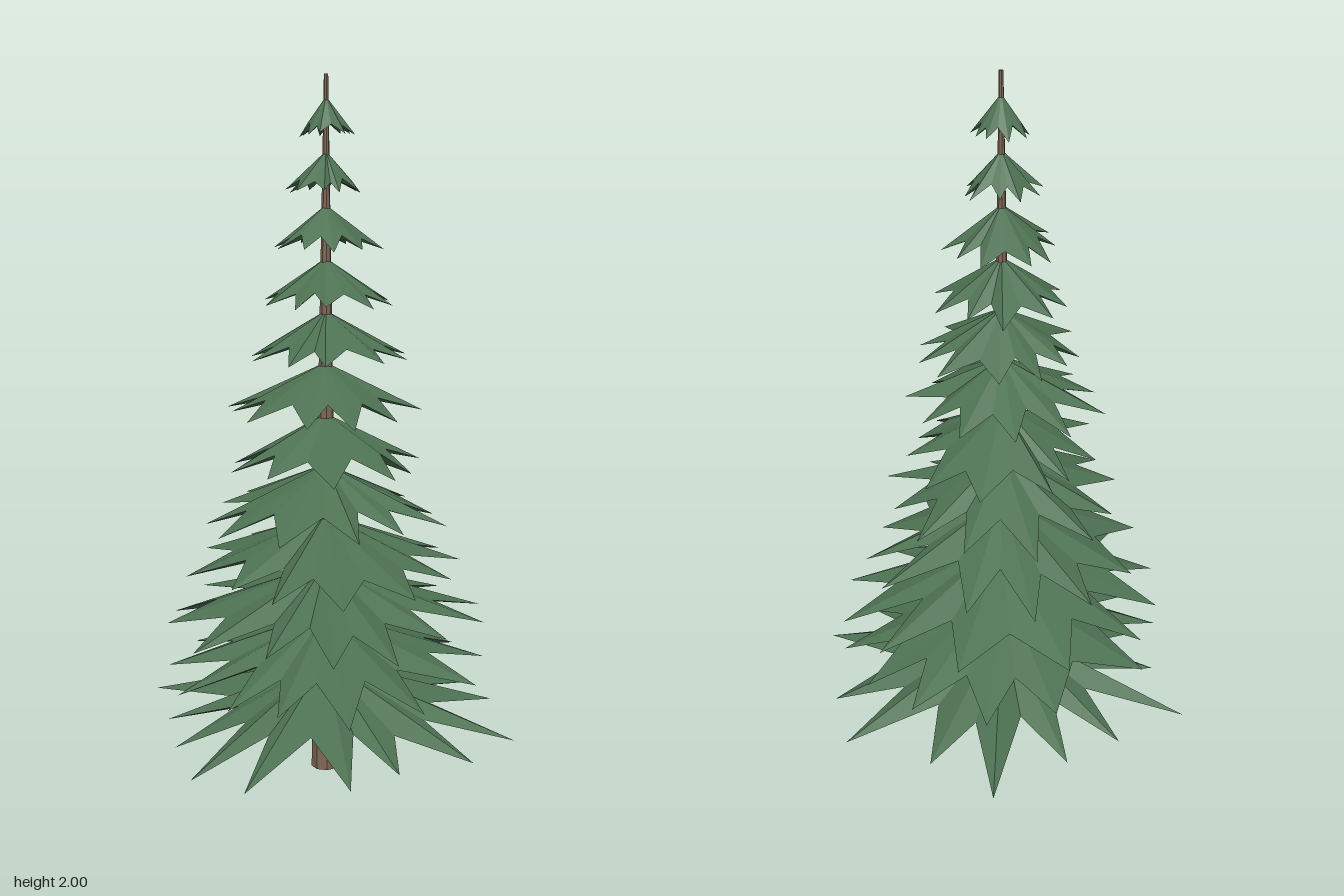
import * as THREE from 'three';

// Small seeded generator for natural variation
function seeded(seed) {
  let s = seed;
  return () => (s = (s * 16807) % 2147483647) / 2147483647;
}

// Closed star-shaped skirt: ridges run from the apex to long tips, folds to short valleys,
// and an underside joins the same rim to a hub on the trunk
function skirtGeometry(tips, drop, fullness, rnd) {
  const rim = [];
  const point = (a, r, y) => [Math.cos(a) * r, y, Math.sin(a) * r];
  tips.forEach(([angle, radius], i) => {
    const [nextAngle, nextRadius] = tips[(i + 1) % tips.length];
    const gap = (nextAngle - angle + Math.PI * 4) % (Math.PI * 2);
    rim.push(point(angle, radius, -drop * (0.94 + rnd() * 0.13)));
    const valley = Math.min(radius, nextRadius) * (fullness + rnd() * 0.14);
    rim.push(point(angle + gap / 2, valley, -drop * (0.66 + rnd() * 0.12)));
  });
  const positions = [];
  rim.forEach((p, i) => {
    const next = rim[(i + 1) % rim.length];
    positions.push(0, 0, 0, ...next, ...p);
    positions.push(0, -drop * 0.59, 0, ...p, ...next);
  });
  const geometry = new THREE.BufferGeometry();
  geometry.setAttribute('position', new THREE.Float32BufferAttribute(positions, 3));
  geometry.computeVertexNormals();
  return geometry;
}

export function createModel() {
  const needles = new THREE.MeshStandardMaterial({ color: 0x4d7152, flatShading: true, side: THREE.DoubleSide });
  needles.name = 'needle green';
  const bark = new THREE.MeshStandardMaterial({ color: 0x7f6655, flatShading: true });
  bark.name = 'bark brown';

  const tree = new THREE.Group();
  tree.name = 'firTree';
  const rnd = seeded(4711);

  // Tapered trunk running through to the leader at the top
  const trunk = new THREE.Mesh(new THREE.CylinderGeometry(0.006, 0.041, 2, 8), bark);
  trunk.name = 'trunk';
  trunk.position.set(0.008, 1, -0.03);
  tree.add(trunk);

  // Three lowest skirts: tip angle in degrees and reach
  const lowest = [
    [
      [-17, 0.57], [3, 0.53], [27, 0.46], [45, 0.5], [75, 0.56], [90, 0.59], [117, 0.47], [142, 0.465],
      [167, 0.575], [191, 0.485], [211, 0.46], [237, 0.58], [259, 0.49], [288, 0.56], [308, 0.52],
    ],
    [
      [15, 0.44], [45, 0.48], [70, 0.43], [92, 0.42], [117, 0.46], [142, 0.46], [172, 0.46],
      [215, 0.45], [240, 0.46], [267, 0.47], [290, 0.47], [312, 0.48], [340, 0.45],
    ],
    [
      [27, 0.45], [50, 0.45], [75, 0.42], [101, 0.48], [133, 0.46], [155, 0.46], [181, 0.485],
      [211, 0.46], [250, 0.45], [280, 0.48], [304, 0.49], [329, 0.46], [355, 0.4],
    ],
  ].map((tips) => tips.map(([deg, r]) => [THREE.MathUtils.degToRad(deg), r]));

  // Reach of the remaining skirts, shrinking upward
  const reach = [0.42, 0.37, 0.305, 0.3, 0.245, 0.195, 0.172, 0.114, 0.08];
  const scatteredTips = (radius, count) => {
    const turn = rnd() * Math.PI * 2;
    return Array.from({ length: count }, (_, i) => [
      turn + ((i + (rnd() - 0.5) * 0.5) / count) * Math.PI * 2,
      radius * (0.83 + rnd() * 0.2),
    ]);
  };
  const skirts = [...lowest, ...reach.map((r, i) => scatteredTips(r, Math.round(12 - i * 0.35)))];

  skirts.forEach((tips, level) => {
    const drop = 0.18 - level * 0.007;
    const skirt = new THREE.Mesh(skirtGeometry(tips, drop, 0.55 + level * 0.007, rnd), needles);
    skirt.name = `branchSkirt${level + 1}`;
    skirt.position.set(0.008, 0.33 + level * 0.1464, -0.03);
    tree.add(skirt);
  });

  return tree;
}
